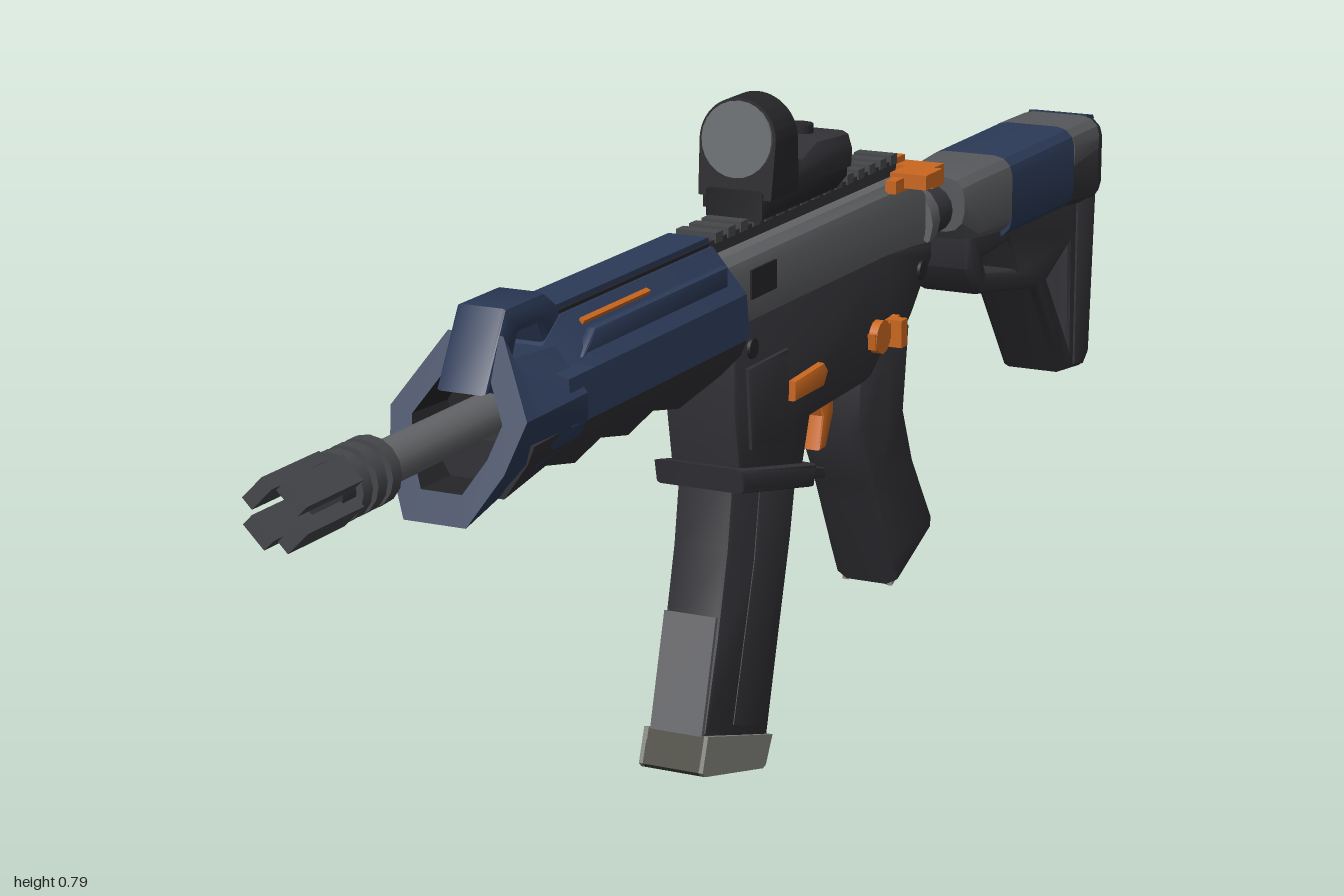
import * as THREE from 'three';
import { toCreasedNormals } from 'three/addons/utils/BufferGeometryUtils.js';

const CX = 0.025; // centre line of the body
const AXIS = 0.565; // height of the barrel

function material(name, color) {
  const m = new THREE.MeshStandardMaterial({ color });
  m.name = name;
  return m;
}

export function createModel() {
  const root = new THREE.Group();
  root.name = 'rifle';
  const dark = material('charcoal', 0x333237);
  const black = material('black', 0x262629);
  const gunmetal = material('gunmetal', 0x46474a);
  const blue = material('navy', 0x2c3a57);
  const grey = material('steel grey', 0x636467);
  const dullGrey = material('dull grey', 0x57585b);
  const orange = material('orange', 0xc9671f);
  const tan = material('pale grey', 0x85857e);
  const olive = material('dark olive', 0x45453b);
  const lensGrey = material('lens grey', 0x6a6d70);

  function add(name, geo, mat, parent = root) {
    const mesh = new THREE.Mesh(geo, mat);
    mesh.name = name;
    parent.add(mesh);
    return mesh;
  }
  function box(name, x, y, z, w, h, d, mat) {
    const m = add(name, new THREE.BoxGeometry(w, h, d), mat);
    m.position.set(x, y, z);
    return m;
  }
  // cylinder along z
  function rod(name, r0, r1, z0, z1, mat, y = AXIS, sides = 16) {
    const geo = new THREE.CylinderGeometry(r1, r0, z1 - z0, sides).rotateX(Math.PI / 2);
    const m = add(name, geo, mat);
    m.position.set(CX, y, (z0 + z1) / 2);
    return m;
  }
  // side profile of [z, y] points, extruded across x
  function side(name, pts, width, mat, { x = CX, holes = [], bevel = 0.007 } = {}) {
    const toV = (a) => a.map(([z, y]) => new THREE.Vector2(z, y));
    const shape = new THREE.Shape(toV(pts));
    shape.holes = holes.map((h) => new THREE.Path(toV(h)));
    const depth = width - 2 * bevel;
    const geo = new THREE.ExtrudeGeometry(shape, {
      depth, bevelEnabled: bevel > 0, bevelThickness: bevel, bevelSize: bevel, bevelOffset: -bevel, bevelSegments: 2,
    });
    geo.translate(0, 0, -depth / 2).rotateY(-Math.PI / 2).translate(x, 0, 0);
    return add(name, toCreasedNormals(geo, 0.7), mat);
  }
  // skin over rings of [x, y, z], counter-clockwise seen from the front, back to front
  function loft(name, rings, mat, capBack = true, capFront = true) {
    const n = rings[0].length;
    const idx = [];
    for (let r = 0; r < rings.length - 1; r++) {
      for (let i = 0; i < n; i++) {
        const a = r * n + i, b = r * n + (i + 1) % n;
        idx.push(a, b, b + n, a, b + n, a + n);
      }
    }
    const last = (rings.length - 1) * n;
    for (let i = 1; i < n - 1; i++) {
      if (capBack) idx.push(0, i + 1, i);
      if (capFront) idx.push(last, last + i, last + i + 1);
    }
    const geo = new THREE.BufferGeometry();
    geo.setAttribute('position', new THREE.Float32BufferAttribute(rings.flat(2), 3));
    geo.setIndex(idx);
    return add(name, toCreasedNormals(geo, 0.5), mat);
  }
  // rounded-corner box section
  function section(z, hw, y0, y1, c = 0.025) {
    const out = [];
    const corners = [[1, 1], [-1, 1], [-1, -1], [1, -1]];
    corners.forEach(([sx, sy], k) => {
      for (let i = 0; i <= 3; i++) {
        const t = (k + i / 3) * Math.PI / 2;
        out.push([CX + sx * (hw - c) + c * Math.cos(t), (sy > 0 ? y1 - c : y0 + c) + c * Math.sin(t), z]);
      }
    });
    return out;
  }

  // barrel and slotted muzzle
  rod('barrel', 0.023, 0.023, 0.4, 0.86, grey);
  for (let i = 0; i < 3; i++) rod('muzzleRing', 0.036, 0.036, 0.83 + i * 0.027, 0.847 + i * 0.027, gunmetal);
  rod('muzzleCore', 0.028, 0.028, 0.835, 0.925, dark);
  for (let i = 0; i < 4; i++) {
    const a = Math.PI / 4 + i * Math.PI / 2;
    const m = box('muzzleProng', CX + Math.cos(a) * 0.027, AXIS + Math.sin(a) * 0.027, 0.95, 0.015, 0.032, 0.1, gunmetal);
    m.rotation.z = a;
  }

  // handguard: blue upper shell, dark lower shell, flared front frame
  const mirrorX = (half) => [...half, ...half.slice().reverse().map(([x, y]) => [-x, y])];
  const at = (pts, z) => pts.map(([x, y]) => [CX + x, y, z]);
  const upper = mirrorX([[0.076, 0.55], [0.072, 0.6], [0.03, 0.65]]);
  const lower = mirrorX([[0.04, 0.49], [0.068, 0.53], [0.076, 0.55]]);
  const upperLow = upper.map(([x, y]) => [x, y > 0.62 ? 0.612 : y]);
  loft('handguardUpper', [at(upper, 0.147), at(upper, 0.5), at(upperLow, 0.56)], blue);
  const dip = lower.map(([x, y]) => [x * 0.96, y < 0.5 ? y + 0.012 : y]);
  loft('handguardLower', [0.147, 0.25, 0.31, 0.37, 0.43, 0.49, 0.55, 0.64].map((z, i) => at(i % 2 ? lower : dip, z)), dark);
  const frame = mirrorX([[0.069, 0.535], [0.078, 0.555], [0.078, 0.58], [0.04, 0.625]]);
  const slope = (pts) => pts.map(([x, y]) => [CX + x, y, 0.715 - 0.5 * (y - 0.47)]);
  const lip = mirrorX([[0.036, 0.478], [0.066, 0.53], [0.079, 0.58], [0.032, 0.655]]);
  const inner = lip.map(([x, y]) => [x * 0.66, AXIS + (y - AXIS) * 0.66]);
  loft('handguardFront', [at(frame, 0.53), at(lip.map(([x, y]) => [x, Math.min(Math.max(y, 0.495), 0.63)]), 0.63), slope(lip)], blue, true, false);
  loft('handguardLip', [slope(lip), slope(inner)], blue, false, false);
  loft('handguardMouth', [slope(inner), at(inner.map(([x, y]) => [x * 0.9, y]), 0.6)], black, false, true);
  side('frontFin', [[0.655, 0.6], [0.61, 0.68], [0.53, 0.68], [0.5, 0.66], [0.48, 0.6]], 0.058, blue,
    { holes: [[[0.6, 0.62], [0.585, 0.65], [0.545, 0.65], [0.53, 0.62]]], bevel: 0.005 });
  box('handguardRail', CX, 0.648, 0.33, 0.05, 0.024, 0.366, blue);
  // sunken stripes behind a raised edge
  for (const s of [-1, 1]) {
    const stripe = box('handguardStripe', CX + s * 0.041, 0.639, 0.4, s < 0 ? 0.014 : 0.006, 0.005, 0.15, orange);
    stripe.rotation.z = -s * 0.5;
    side('handguardEdge', [[0.17, 0.61], [0.17, 0.635], [0.48, 0.635], [0.51, 0.61]], 0.012, blue, { x: CX + s * 0.055, bevel: 0.003 });
    box('railShadowLine', CX + s * 0.0255, 0.651, 0.33, 0.003, 0.006, 0.36, black);
  }

  // top rail with teeth on the receiver
  box('railBase', CX, 0.642, -0.11, 0.046, 0.022, 0.52, dark);
  for (let z = -0.36; z < 0.14; z += 0.032) box('railTooth', CX, 0.655, z, 0.05, 0.012, 0.018, gunmetal);

  // upper receiver
  loft('upperReceiver', [section(-0.435, 0.038, 0.525, 0.61), section(-0.39, 0.046, 0.53, 0.635),
    section(0.147, 0.047, 0.535, 0.637)], grey);
  box('sidePort', CX + 0.0455, 0.595, 0.055, 0.008, 0.034, 0.065, black);
  box('ejectionPort', CX - 0.0455, 0.582, -0.04, 0.008, 0.056, 0.3, dark);
  const flap = box('portCover', -0.044, 0.5, 0, 0.007, 0.06, 0.2, dark);
  flap.rotation.z = -0.6;
  const assist = new THREE.Group();
  assist.name = 'forwardAssist';
  add('assistStem', new THREE.CylinderGeometry(0.015, 0.018, 0.07, 12), dark, assist);
  add('assistKnob', new THREE.CylinderGeometry(0.021, 0.024, 0.034, 12), dark, assist).position.y = 0.038;
  assist.position.set(-0.05, 0.562, -0.325);
  assist.rotation.set(0, -0.45, Math.PI / 2);
  root.add(assist);

  // charging handle
  box('chargingHandle', CX, 0.632, -0.393, 0.14, 0.026, 0.034, orange);
  box('chargingStem', CX, 0.646, -0.375, 0.04, 0.014, 0.06, orange);
  box('chargingLatch', 0.082, 0.636, -0.355, 0.048, 0.018, 0.05, orange);
  box('chargingCatch', 0.07, 0.632, -0.325, 0.014, 0.016, 0.04, orange);

  // lower receiver and magazine well
  side('lowerReceiver', [[0.12, 0.56], [0.12, 0.45], [0.105, 0.37], [-0.06, 0.335], [-0.083, 0.4], [-0.31, 0.405],
    [-0.38, 0.46], [-0.44, 0.52], [-0.437, 0.54], [-0.3, 0.555]], 0.09, dark);
  side('magazineWellLip', [[0.128, 0.39], [0.122, 0.36], [-0.07, 0.318], [-0.078, 0.345]], 0.114, dark);
  side('magazineWellPanel', [[0.095, 0.5], [0.085, 0.4], [-0.015, 0.385], [-0.015, 0.5]], 0.1, dark);

  // controls: selector on both sides, bolt catch on the left
  side('boltCatch', [[-0.02, 0.458], [-0.02, 0.434], [-0.1, 0.434], [-0.112, 0.45], [-0.1, 0.462]], 0.02, orange, { x: CX + 0.044, bevel: 0.003 });
  box('selectorTip', 0.083, 0.455, -0.298, 0.022, 0.034, 0.018, orange);
  for (const s of [-1, 1]) {
    const x = CX + s * 0.046;
    const lever = box('selectorLever', x, 0.458, -0.28, 0.018, 0.02, 0.075, orange);
    lever.rotation.x = 0.12;
    const hub = add('selectorHub', new THREE.CylinderGeometry(0.021, 0.021, 0.02, 12).rotateZ(Math.PI / 2), orange);
    hub.position.set(x, 0.456, -0.265);
    for (const [y, z] of [[0.52, 0.08], [0.51, -0.4]]) {
      const pin = add('pin', new THREE.CylinderGeometry(0.012, 0.012, 0.014, 10).rotateZ(Math.PI / 2), black);
      pin.position.set(CX + s * 0.042, y, z);
    }
  }
  side('trigger', [[-0.17, 0.41], [-0.188, 0.37], [-0.176, 0.33], [-0.195, 0.33], [-0.216, 0.37], [-0.214, 0.41]], 0.026, orange, { bevel: 0.003 });
  side('triggerGuard', [[-0.06, 0.345], [-0.09, 0.318], [-0.18, 0.296], [-0.18, 0.309], [-0.095, 0.333], [-0.075, 0.4]], 0.04, dark, { bevel: 0.004 });

  // magazine, with pale sides on an olive base
  side('magazine', [[0.105, 0.38], [0.12, 0.287], [0.145, 0.19], [0.178, 0.085], [0.016, 0.022], [-0.02, 0.153],
    [-0.05, 0.26], [-0.067, 0.34]], 0.072, dark);
  side('magazineRib', [[0.04, 0.35], [0.055, 0.26], [0.11, 0.075], [0.04, 0.047], [-0.005, 0.17], [-0.045, 0.33]], 0.078, dark);
  const basePts = [[0.182, 0.086], [0.196, 0.046], [0.19, 0.04], [0.038, 0], [0.03, 0.002], [0.012, 0.034]];
  side('magazineBase', basePts, 0.072, olive, { bevel: 0 });
  for (const s of [-1, 1]) side('magazineBaseSide', basePts, 0.006, tan, { x: CX + s * 0.038, bevel: 0 });
  side('magazineFrontPatch', [[0.141, 0.215], [0.146, 0.217], [0.183, 0.085], [0.177, 0.083]], 0.066, grey, { bevel: 0 });

  // pistol grip
  side('grip', [[-0.225, 0.41], [-0.222, 0.345], [-0.27, 0.265], [-0.285, 0.235], [-0.325, 0.155], [-0.346, 0.115],
    [-0.455, 0.16], [-0.458, 0.178], [-0.395, 0.27], [-0.365, 0.34], [-0.38, 0.45], [-0.3, 0.46]], 0.094, dark, { bevel: 0.02 });
  side('gripPatch', [[-0.413, 0.249], [-0.416, 0.251], [-0.441, 0.214], [-0.438, 0.212]], 0.03, tan, { bevel: 0 });
  for (const s of [-1, 1]) {
    side('gripEdge', [[-0.348, 0.126], [-0.348, 0.113], [-0.44, 0.151], [-0.44, 0.164]], 0.008, tan, { x: CX + s * 0.03, bevel: 0 });
  }

  // buffer tube
  rod('endPlate', 0.045, 0.05, -0.46, -0.425, grey, 0.562);
  rod('bufferTube', 0.032, 0.032, -0.6, -0.43, dark, 0.558);

  // stock: coloured bands over an open frame
  const band = (name, mat, ...s) => loft(name, s.map((a) => section(...a)), mat);
  band('stockButt', dark, [-1, 0.045, 0.49, 0.592], [-0.992, 0.056, 0.487, 0.6], [-0.968, 0.06, 0.485, 0.604]);
  side('stockButtEdge', [[-0.996, 0.597], [-0.99, 0.603], [-0.968, 0.607], [-0.968, 0.597]], 0.085, blue, { bevel: 0 });
  band('stockRearBand', dullGrey, [-0.968, 0.061, 0.545, 0.605], [-0.875, 0.062, 0.535, 0.606]);
  band('stockRearLower', dark, [-0.968, 0.06, 0.485, 0.58], [-0.87, 0.06, 0.495, 0.58]);
  band('stockMiddleBand', blue, [-0.875, 0.061, 0.495, 0.606], [-0.66, 0.06, 0.498, 0.606]);
  band('stockFrontBand', dullGrey, [-0.66, 0.06, 0.505, 0.606], [-0.57, 0.055, 0.51, 0.604], [-0.53, 0.048, 0.53, 0.6]);
  side('stockFrame', [[-0.56, 0.53], [-0.565, 0.475], [-0.6, 0.435], [-0.79, 0.402], [-0.895, 0.262], [-0.965, 0.254],
    [-0.984, 0.27], [-0.998, 0.57], [-0.9, 0.56]], 0.09, dark, {
    bevel: 0.01,
    holes: [[[-0.605, 0.482], [-0.69, 0.485], [-0.715, 0.445], [-0.62, 0.462]], [[-0.835, 0.405], [-0.905, 0.435], [-0.912, 0.3]]],
  });
  side('stockButtPad', [[-0.925, 0.52], [-0.925, 0.262], [-0.965, 0.254], [-0.986, 0.27], [-1, 0.52]], 0.106, dark, { bevel: 0.02 });

  // reflex sight
  side('sightMount', [[0.035, 0.655], [0.035, 0.69], [-0.2, 0.69], [-0.2, 0.665], [-0.17, 0.655]], 0.075, black);
  side('sightBody', [[0.02, 0.68], [-0.02, 0.725], [-0.06, 0.715], [-0.1, 0.728], [-0.19, 0.722], [-0.203, 0.7], [-0.2, 0.675]], 0.09, dark, { bevel: 0.012 });
  const hood = new THREE.Shape();
  hood.moveTo(-0.046, 0.68).lineTo(0.046, 0.68).lineTo(0.048, 0.745);
  hood.absarc(0, 0.745, 0.048, 0, Math.PI, false);
  hood.closePath();
  const hoodGeo = new THREE.ExtrudeGeometry(hood, { depth: 0.075, bevelEnabled: false, curveSegments: 14 });
  // both faces lean inwards towards the top
  const hp = hoodGeo.attributes.position;
  for (let i = 0; i < hp.count; i++) {
    const lean = (hp.getY(i) - 0.675) * 0.12;
    hp.setZ(i, hp.getZ(i) + (hp.getZ(i) > 0.04 ? -lean : lean));
  }
  add('sightHood', toCreasedNormals(hoodGeo, 0.6), black).position.set(CX, 0, -0.043);
  const lens = rod('sightLens', 0.044, 0.044, 0.019, 0.027, lensGrey, 0.746, 24);
  lens.rotation.x = -0.12;
  const rearLens = rod('sightRearLens', 0.036, 0.036, -0.039, -0.032, gunmetal, 0.75, 24);
  rearLens.rotation.x = 0.12;
  box('sightClamp', -0.027, 0.683, -0.06, 0.018, 0.054, 0.1, black);
  const dial = add('sightDial', new THREE.CylinderGeometry(0.017, 0.017, 0.012, 12), black);
  dial.position.set(CX, 0.73, -0.14);

  return root;
}
